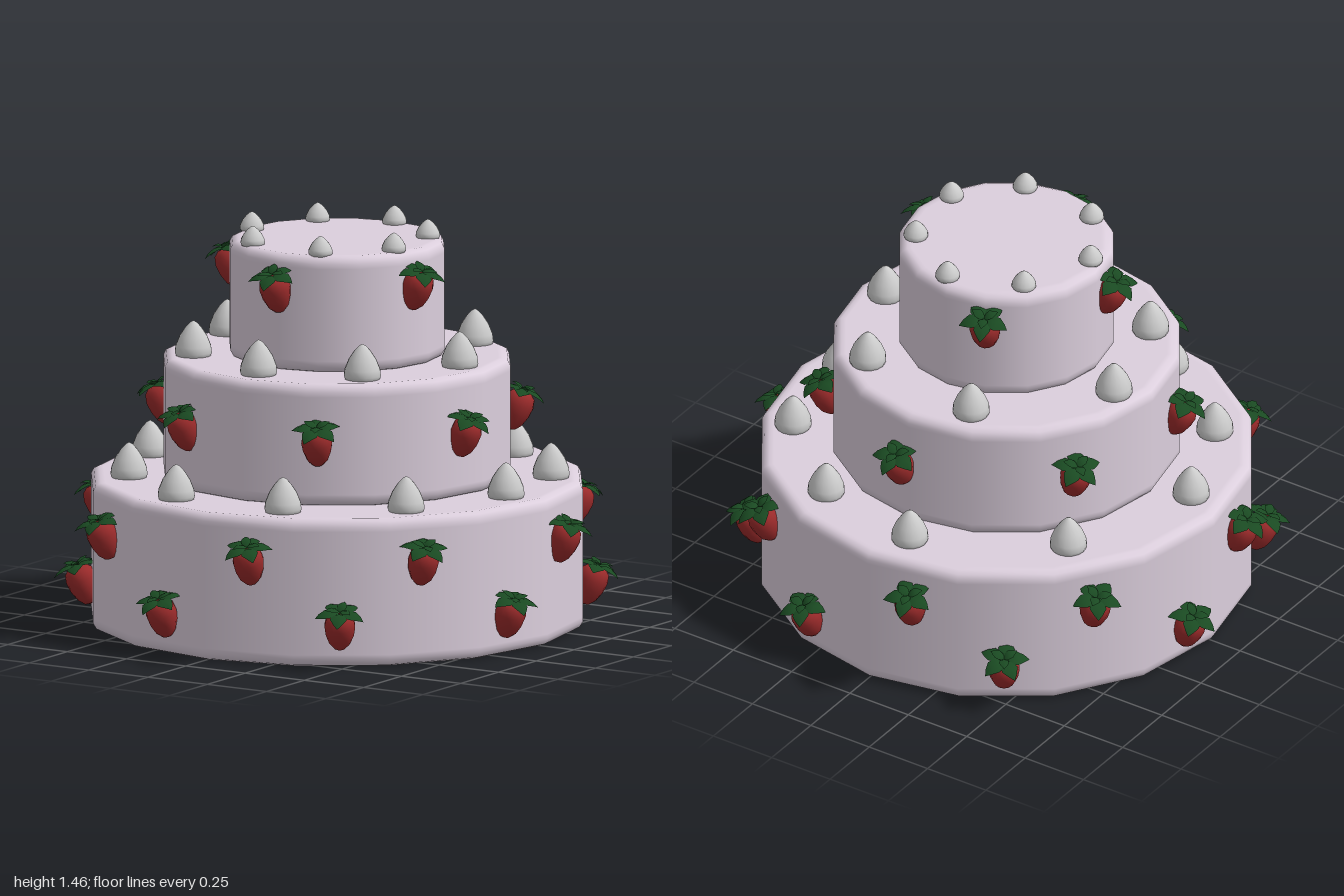
import * as THREE from 'three';

const material = (color, side = THREE.FrontSide) => new THREE.MeshStandardMaterial({ color, side });
const icing = material(0xdccfdd, THREE.DoubleSide);
const cream = material(0xcccccc, THREE.DoubleSide);
const red = material(0x9c2b2b);
const green = material(0x1a4a22, THREE.DoubleSide);

const lathe = (points, segments) =>
  new THREE.LatheGeometry(points.map(([r, y]) => new THREE.Vector2(r, y)), segments);

// radius, bottom, top, cream dots [x, z], cream size, berries [x, z], berry heights (alternating)
const tiers = [
  {
    name: 'bottomTier', r: 0.888, y0: 0, y1: 0.535, creamSize: [1, 1],
    dots: [[0.745, 0.05], [0.585, 0.46], [0.225, 0.71], [-0.225, 0.71], [-0.59, 0.45],
      [-0.75, 0.06], [-0.57, -0.455], [-0.075, -0.73], [0.34, -0.645], [0.68, -0.35]],
    berries: [[-0.19, -0.92], [0.285, -0.9], [0.59, -0.755], [0.81, -0.48], [0.925, -0.09], [0.915, 0.24],
      [0.75, 0.58], [0.5, 0.765], [0.195, 0.9], [-0.175, 0.915], [-0.525, 0.775], [-0.765, 0.52],
      [-0.915, 0.175], [-0.93, -0.17], [-0.76, -0.55], [-0.525, -0.8]],
    heights: [0.37, 0.145],
  },
  {
    name: 'middleTier', r: 0.627, y0: 0.53, y1: 0.973, creamSize: [1, 1],
    dots: [[-0.17, -0.48], [0.32, -0.41], [0.505, -0.02], [0.34, 0.365], [-0.015, 0.495],
      [-0.405, 0.315], [-0.52, -0.09]],
    berries: [[0.03, -0.69], [0.53, -0.42], [0.66, 0.145], [0.295, 0.6], [-0.285, 0.61],
      [-0.64, 0.195], [-0.58, -0.39]],
    heights: [0.76],
  },
  {
    name: 'topTier', r: 0.388, y0: 0.968, y1: 1.392, creamSize: [0.66, 0.52],
    dots: [[0.035, -0.325], [0.275, -0.17], [0.31, 0.11], [0.125, 0.305], [-0.18, 0.275],
      [-0.33, 0.045], [-0.225, -0.225]],
    berries: [[-0.17, -0.4], [0.415, 0.095], [0, 0.44], [-0.435, 0.075]],
    heights: [1.26],
  },
];

// Hollow shell with small rounded edges, open underneath
function tierGeometry(r, y0, y1) {
  return lathe([
    [r - 0.035, y0], [r - 0.012, y0 + 0.008], [r, y0 + 0.028], [r, y0 + 0.045],
    [r, y1 - 0.045], [r, y1 - 0.028], [r - 0.009, y1 - 0.009], [r - 0.028, y1],
    [r - 0.045, y1], [0, y1],
  ], 16);
}

// Piped drop of cream
const dropGeometry = lathe([
  [0, -0.008], [0.06, -0.008], [0.067, 0.012], [0.064, 0.035], [0.05, 0.07],
  [0.03, 0.1], [0.012, 0.119], [0, 0.126],
], 16);

// Strawberry body
const berryGeometry = lathe([
  [0, -0.082], [0.02, -0.076], [0.038, -0.055], [0.051, -0.02], [0.056, 0.015],
  [0.05, 0.045], [0.032, 0.062], [0, 0.067],
], 14);

// Folded pointed leaf along +z: each section is [distance, half width, height]
function makeLeaf() {
  const sections = [[0, 0.01, 0], [0.025, 0.026, 0.012], [0.05, 0.03, 0.012], [0.074, 0.016, 0.002], [0.092, 0, -0.012]];
  const positions = [], index = [];
  sections.forEach(([z, w, y], i) => {
    positions.push(w, y - w * 0.3, z, 0, y, z, -w, y - w * 0.3, z);
    if (i === 0) return;
    const a = (i - 1) * 3, b = i * 3;
    for (let k = 0; k < 2; k++) index.push(a + k, a + k + 1, b + k, a + k + 1, b + k + 1, b + k);
  });
  const geometry = new THREE.BufferGeometry();
  geometry.setAttribute('position', new THREE.Float32BufferAttribute(positions, 3));
  geometry.setIndex(index);
  geometry.computeVertexNormals();
  return geometry;
}
const leafGeometry = makeLeaf();

function addMesh(parent, name, geometry, mat) {
  const mesh = new THREE.Mesh(geometry, mat);
  mesh.name = name;
  parent.add(mesh);
  return mesh;
}

function makeStrawberry(twist) {
  const berry = new THREE.Group();
  berry.name = 'strawberry';
  addMesh(berry, 'berry', berryGeometry, red);
  // Five spread leaves with three smaller raised ones above
  for (const [count, scale, lift, y] of [[5, 1, 0, 0.064], [3, 0.6, -0.35, 0.07]]) {
    for (let i = 0; i < count; i++) {
      const leaf = addMesh(berry, 'leaf', leafGeometry, green);
      leaf.position.y = y;
      leaf.rotation.order = 'YXZ';
      leaf.rotation.set(lift, twist + (i / count) * Math.PI * 2, 0);
      leaf.scale.setScalar(scale);
    }
  }
  return berry;
}

export function createModel() {
  const cake = new THREE.Group();
  cake.name = 'tieredCake';
  for (const tier of tiers) {
    const group = new THREE.Group();
    group.name = tier.name;
    cake.add(group);
    addMesh(group, 'icingShell', tierGeometry(tier.r, tier.y0, tier.y1), icing);

    for (const [x, z] of tier.dots) {
      const drop = addMesh(group, 'creamDrop', dropGeometry, cream);
      drop.position.set(x, tier.y1, z);
      drop.scale.set(tier.creamSize[0], tier.creamSize[1], tier.creamSize[0]);
    }

    // Berries half sunk into the side, tops leaning outward
    tier.berries.forEach(([x, z], i) => {
      const angle = Math.atan2(x, z);
      const reach = tier.r + 0.017;
      const berry = makeStrawberry(i * 0.7);
      berry.position.set(Math.sin(angle) * reach, tier.heights[i % tier.heights.length], Math.cos(angle) * reach);
      berry.rotation.order = 'YXZ';
      berry.rotation.set(0.35, angle, 0);
      group.add(berry);
    });
  }
  return cake;
}
